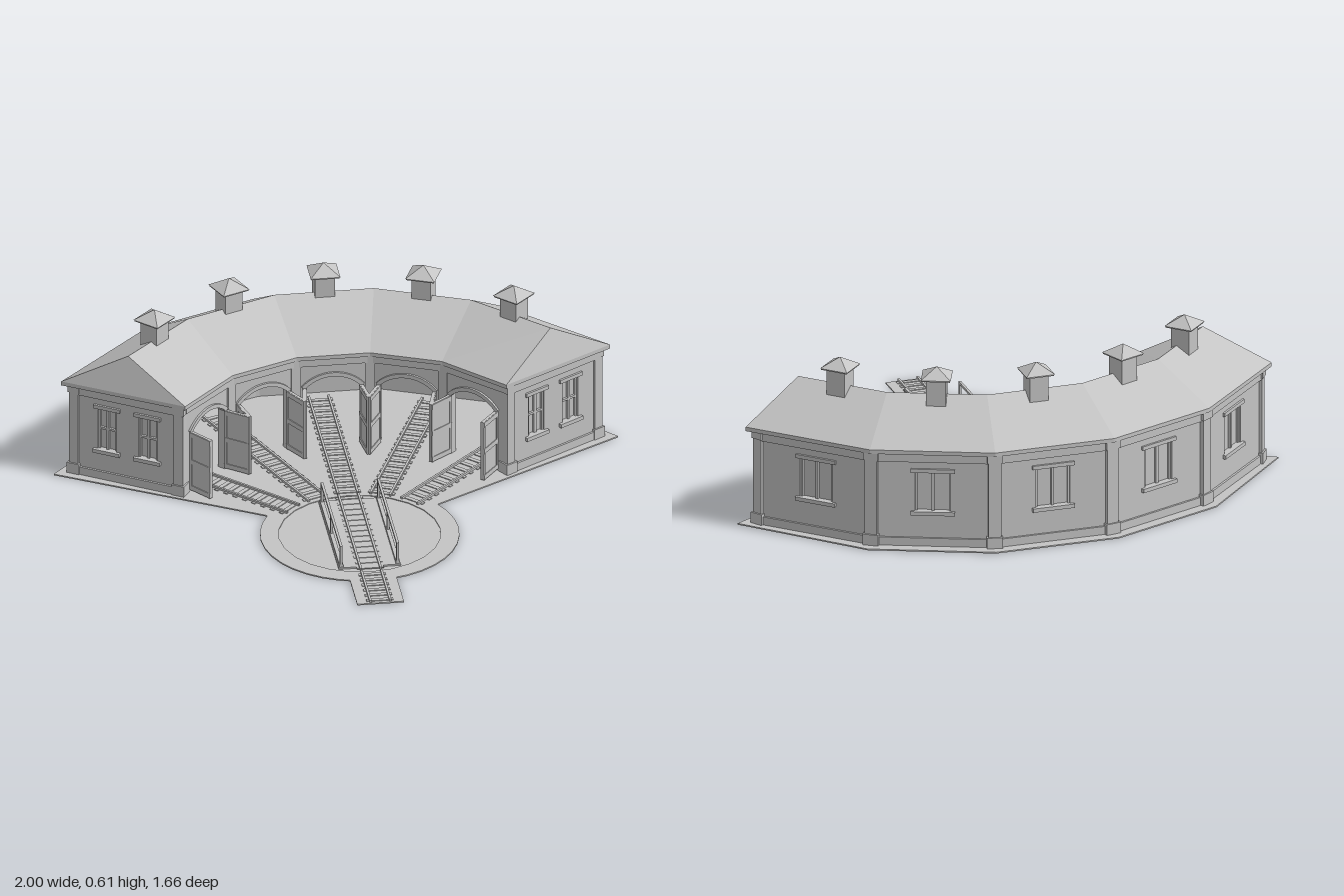
import * as THREE from 'three';

const STEP = Math.PI / 8;                 // angle of one stall
const R_IN = 0.68, R_OUT = 1.11;          // corner radii of the walls
const WALL_H = 0.355, BASE = 0.005;
const deg = THREE.MathUtils.degToRad;
const APO = Math.cos(STEP / 2), HALF = Math.sin(STEP / 2);

const stone = new THREE.MeshStandardMaterial({ color: 0xc4c4c4, side: THREE.DoubleSide, flatShading: true });
stone.name = 'paleGrey';

function add(parent, name, geometry, x = 0, y = 0, z = 0) {
  const mesh = new THREE.Mesh(geometry, stone);
  mesh.name = name;
  mesh.position.set(x, y, z);
  parent.add(mesh);
  return mesh;
}
const box = (parent, name, w, h, d, x, y, z) => add(parent, name, new THREE.BoxGeometry(w, h, d), x, y, z);
const extrude = (shape, depth) => new THREE.ExtrudeGeometry(shape, { depth, bevelEnabled: false, curveSegments: 12 });

function sub(parent, name, angle = 0, x = 0, y = 0, z = 0) {
  const g = new THREE.Group();
  g.name = name;
  g.rotation.y = angle;
  g.position.set(x, y, z);
  parent.add(g);
  return g;
}

// Wall facing +z with recessed, barred windows
function windowWall(g, width, centres, w, y0, y1, transom) {
  const shape = new THREE.Shape([[-width / 2, 0], [width / 2, 0], [width / 2, WALL_H], [-width / 2, WALL_H]].map(p => new THREE.Vector2(...p)));
  const h = y1 - y0, ym = (y0 + y1) / 2;
  for (const c of centres) {
    shape.holes.push(new THREE.Path([[c - w / 2, y0], [c - w / 2, y1], [c + w / 2, y1], [c + w / 2, y0]].map(p => new THREE.Vector2(...p))));
    box(g, 'windowPane', w, h, 0.006, c, ym, -0.018);
    box(g, 'mullion', 0.01, h, 0.01, c, ym, -0.011);
    for (const s of [-1, 1]) box(g, 'windowFrame', 0.007, h, 0.01, c + s * (w / 2 - 0.0035), ym, -0.011);
    if (transom) box(g, 'transom', w, 0.008, 0.01, c, ym, -0.011);
    box(g, 'windowSill', w + 0.03, 0.014, 0.022, c, y0 - 0.007, 0.001);
    box(g, 'lintel', w + 0.03, 0.014, 0.016, c, y1 + 0.007, 0);
  }
  add(g, 'wall', extrude(shape, 0.03), 0, 0, -0.03);
  box(g, 'plinth', width, 0.03, 0.01, 0, 0.02, 0.003);
  box(g, 'frieze', width, 0.035, 0.012, 0, WALL_H - 0.018, 0.002);
}

// Door wall facing +z with a segmental arch and two open doors
function doorWall(g) {
  const w = R_IN * HALF, o = 0.1, spring = 0.235, crown = 0.28;
  const rise = crown - spring, r = (o * o + rise * rise) / (2 * rise), cy = crown - r;
  const a0 = Math.atan2(spring - cy, o), a1 = Math.PI - a0;
  const wall = new THREE.Shape();
  wall.moveTo(-w, 0).lineTo(-o, 0).lineTo(-o, spring);
  wall.absarc(0, cy, r, a1, a0, true);
  wall.lineTo(o, 0).lineTo(w, 0).lineTo(w, WALL_H).lineTo(-w, WALL_H);
  add(g, 'archedWall', extrude(wall, 0.03), 0, 0, -0.03);
  const trim = new THREE.Shape();
  trim.absarc(0, cy, r + 0.015, a0, a1, false);
  trim.absarc(0, cy, r, a1, a0, true);
  add(g, 'archTrim', extrude(trim, 0.008));
  box(g, 'frontFrieze', 2 * w, 0.03, 0.012, 0, WALL_H - 0.015, 0.002);
  for (const s of [-1, 1]) {
    const door = sub(g, 'door', s * 0.13, s * o, 0, 0);
    box(door, 'doorLeaf', 0.009, 0.228, 0.1, 0, 0.126, 0.052);
    for (const y of [0.022, 0.125, 0.23]) box(door, 'doorRail', 0.015, 0.018, 0.1, 0, y, 0.052);
    for (const z of [0.007, 0.097]) box(door, 'doorStile', 0.014, 0.228, 0.01, 0, 0.126, z);
  }
}

// Track along z, centred on x = 0
function track(parent, name, z0, z1, y) {
  const g = sub(parent, name);
  const len = z1 - z0, n = Math.round(len / 0.04);
  for (let i = 0; i < n; i++) box(g, 'tie', 0.095, 0.004, 0.016, 0, y + 0.001, z0 + (i + 0.5) * len / n);
  for (const s of [-1, 1]) box(g, 'rail', 0.008, 0.008, len, s * 0.035, y + 0.006, (z0 + z1) / 2);
}

// Hipped roof: one closed cross-section per station
function roofGeometry() {
  const angles = [-58.5, -33.75, -11.25, 11.25, 33.75, 58.5].map(deg);
  const pos = [], idx = [], n = 5;
  angles.forEach((a, i) => {
    const end = i === 0 || i === 5;
    const ridge = end ? Math.sign(a) * deg(55.9) : a;
    const ro = end ? 1.14 : 1.13;
    for (const [r, y, t] of [[ro, WALL_H - 0.003, a], [ro, 0.367, a], [0.903, 0.498, ridge], [0.667, 0.367, a], [0.667, WALL_H - 0.003, a]])
      pos.push(r * Math.sin(t), y, -r * Math.cos(t));
  });
  for (let i = 0; i < 5; i++) for (let k = 0; k < n; k++) {
    const a = i * n + k, b = i * n + (k + 1) % n;
    idx.push(a, b, a + n, b, b + n, a + n);
  }
  for (const [k, flip] of [[0, 1], [25, 0]]) for (const [p, q, r] of [[0, 1, 4], [1, 3, 4], [1, 2, 3]])
    idx.push(k + p, k + (flip ? r : q), k + (flip ? q : r));
  const g = new THREE.BufferGeometry();
  g.setAttribute('position', new THREE.Float32BufferAttribute(pos, 3));
  g.setIndex(idx);
  const flat = g.toNonIndexed();
  // make the winding face outwards
  const p = flat.attributes.position, v = [0, 1, 2].map(() => new THREE.Vector3());
  let volume = 0;
  for (let i = 0; i < p.count; i += 3) {
    v.forEach((q, k) => q.fromBufferAttribute(p, i + k));
    volume += v[0].dot(v[1].cross(v[2]));
  }
  if (volume < 0) {
    for (let i = 0; i < idx.length; i += 3) [idx[i + 1], idx[i + 2]] = [idx[i + 2], idx[i + 1]];
    g.setIndex(idx);
    const fixed = g.toNonIndexed();
    fixed.computeVertexNormals();
    return fixed;
  }
  flat.computeVertexNormals();
  return flat;
}

export function createModel() {
  const model = new THREE.Group();
  model.name = 'roundhouse';
  const site = sub(model, 'site', 0, 0, 0, 0.31);   // origin at the turntable centre

  // Ground slab with turntable pit
  const polar = (r, a) => new THREE.Vector2(r * Math.sin(a), r * Math.cos(a));
  const edge = deg(59.5);
  const outline = [-59.5, -33.75, -11.25, 11.25, 33.75, 59.5].map(a => polar(1.16, deg(a)));
  for (let i = 0; i <= 24; i++) outline.push(polar(0.35, edge + (2 * Math.PI - 2 * edge) * i / 24));
  const slab = new THREE.Shape(outline);
  const pit = new THREE.Path();
  pit.absarc(0, 0, 0.285, 0, Math.PI * 2, true);
  slab.holes.push(pit);
  add(site, 'groundSlab', extrude(slab, BASE)).rotation.x = -Math.PI / 2;
  add(site, 'pitFloor', new THREE.CylinderGeometry(0.286, 0.286, 0.002, 32), 0, 0.001, 0);
  box(site, 'approachSlab', 0.165, BASE, 0.2, 0, BASE / 2, 0.42);
  track(site, 'approachTrack', 0.29, 0.518, BASE);

  // Turntable bridge with handrails
  const bridge = sub(site, 'turntableBridge');
  box(bridge, 'bridgeDeck', 0.22, 0.006, 0.5, 0, 0.005, 0);
  track(bridge, 'bridgeTrack', -0.28, 0.28, 0.007);
  for (const s of [-1, 1]) {
    box(bridge, 'girder', 0.014, 0.014, 0.49, s * 0.1, 0.011, 0);
    box(bridge, 'handrail', 0.009, 0.009, 0.482, s * 0.1, 0.086, 0.005);
    for (const z of [-0.231, 0.005, 0.241]) box(bridge, 'railPost', 0.009, 0.08, 0.009, s * 0.1, 0.046, z);
  }

  // Five stalls around the turntable
  for (let i = -2; i <= 2; i++) {
    const stall = sub(site, 'stall', -i * STEP);
    track(stall, 'stallTrack', -1.02, -0.29, BASE);
    doorWall(sub(stall, 'doorWall', 0, 0, 0, -R_IN * APO));
    windowWall(sub(stall, 'rearWall', Math.PI, 0, 0, -R_OUT * APO), 2 * R_OUT * HALF, [0], 0.125, 0.135, 0.28, false);

    const vent = sub(stall, 'roofVent', 0, 0, 0, -0.9);
    box(vent, 'ventShaft', 0.07, 0.11, 0.07, 0, 0.515, 0);
    box(vent, 'ventEave', 0.1, 0.006, 0.1, 0, 0.568, 0);
    const cap = new THREE.ConeGeometry(0.0745, 0.035, 4).rotateY(Math.PI / 4);
    add(vent, 'ventCap', cap, 0, 0.588, 0);
  }

  // Pilasters at each joint between stalls
  const pilaster = (g, w, r) => {
    box(g, 'pilaster', w, WALL_H, 0.036, 0, WALL_H / 2, -r);
    box(g, 'pilasterFoot', w + 0.012, 0.045, 0.048, 0, 0.0225, -r);
    box(g, 'pilasterHead', w + 0.008, 0.03, 0.044, 0, WALL_H - 0.016, -r);
  };
  for (const k of [-1.5, -0.5, 0.5, 1.5]) {
    const joint = sub(site, 'joint', -k * STEP);
    pilaster(joint, 0.045, R_OUT - 0.008);
    box(joint, 'frontPier', 0.035, WALL_H, 0.03, 0, WALL_H / 2, -R_IN - 0.005);
  }

  // End walls with two windows and corner pilasters
  for (const s of [-1, 1]) {
    const end = sub(site, s > 0 ? 'leftEnd' : 'rightEnd', -s * deg(57.4));
    windowWall(sub(end, 'endWall', s * Math.PI / 2, 0, 0, -0.895), R_OUT - R_IN, [-0.078, 0.078], 0.072, 0.12, 0.28, true);
    const corner = sub(end, 'corner', 0, -s * 0.012, 0, 0);
    pilaster(corner, 0.036, R_OUT - 0.01);
    pilaster(corner, 0.036, R_IN + 0.016);
  }

  add(site, 'roof', roofGeometry());
  return model;
}
